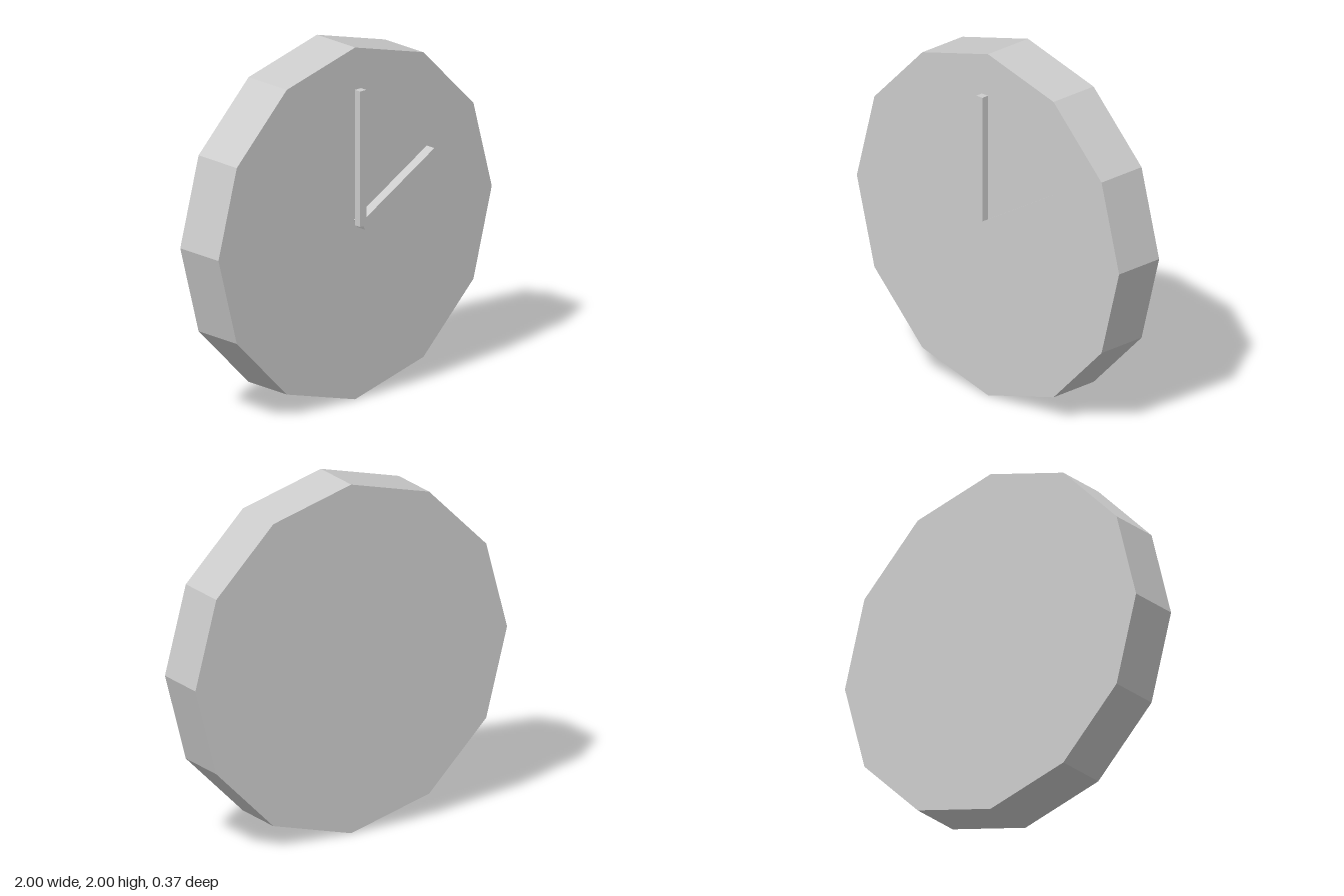
import * as THREE from 'three';

export function createModel() {
  const group = new THREE.Group();
  const grey = new THREE.MeshStandardMaterial({ color: 0xcccccc, flatShading: true });
  grey.name = 'light grey';

  // Twelve-sided clock body, facing +z
  const back = -0.187, face = 0.121, front = 0.187;
  const bodyGeometry = new THREE.CylinderGeometry(1, 1, face - back, 12).rotateX(Math.PI / 2);
  const body = new THREE.Mesh(bodyGeometry, grey);
  body.name = 'clockBody';
  body.position.set(0, 1, (face + back) / 2);
  group.add(body);

  // A hand pivots at the clock centre and points up before it is turned clockwise
  function addHand(name, length, width, depth, degrees) {
    const geometry = new THREE.BoxGeometry(width, length, depth).translate(0, length / 2, 0);
    const hand = new THREE.Mesh(geometry, grey);
    hand.name = name;
    hand.position.set(0, 1, front - depth / 2);
    hand.rotation.z = -THREE.MathUtils.degToRad(degrees);
    group.add(hand);
  }
  addHand('minuteHand', 0.77, 0.046, 0.043, 0);
  addHand('hourHand', 0.617, 0.056, 0.061, 60);

  return group;
}
